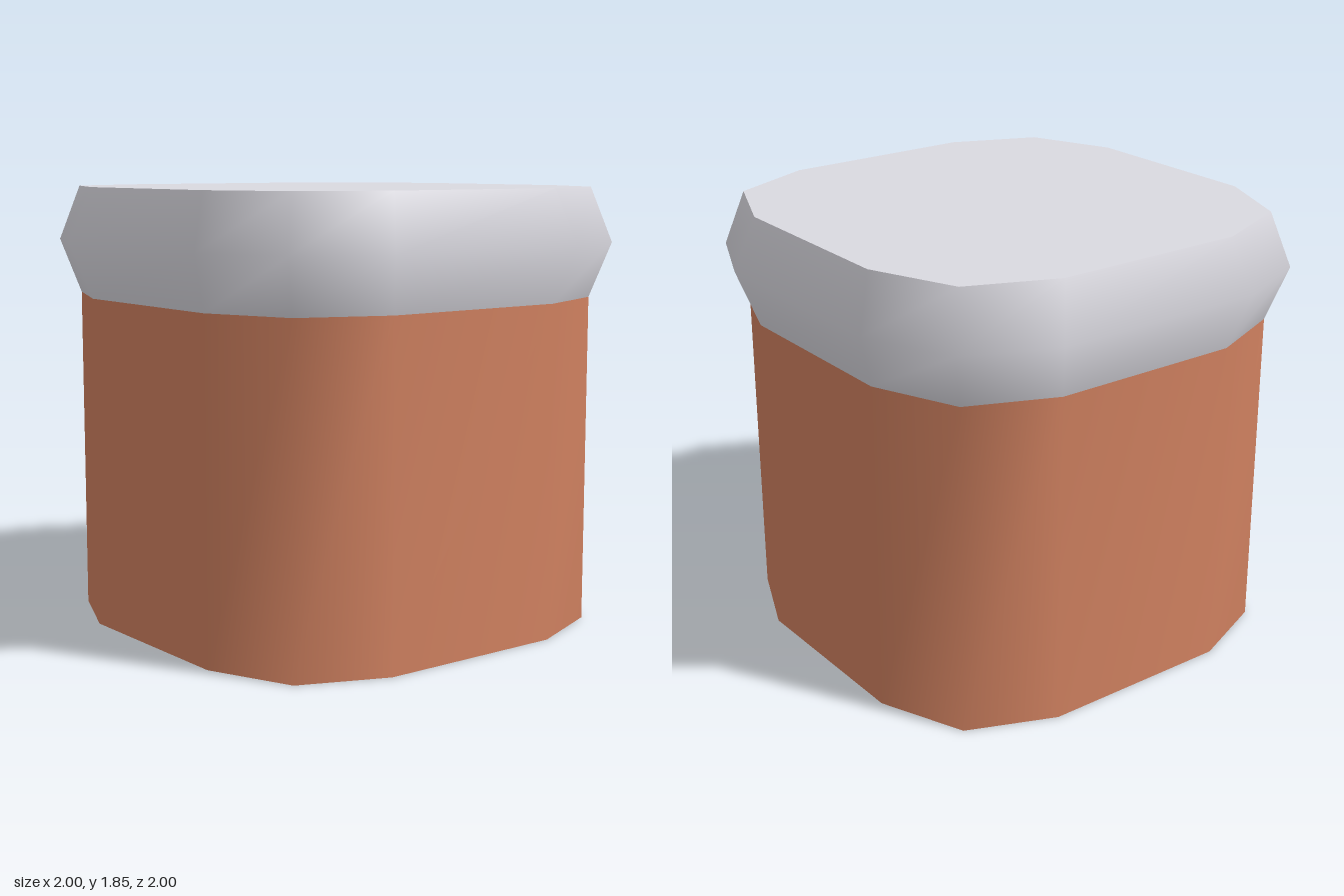
import * as THREE from 'three';

const dirt = new THREE.MeshStandardMaterial({ color: 0xd08160 });
dirt.name = 'dirt';
const snow = new THREE.MeshStandardMaterial({ color: 0xdad9e0 });
snow.name = 'snow';

// Quarter of the rounded-square outline as [x, z], repeated by quarter turns
const INNER = [[0.925, 0.415], [0.775, 0.775], [0.415, 0.925]];
const OUTER = [[1, 0.47], [0.84, 0.84], [0.47, 1]];

function outline(quarter) {
  const points = [];
  for (let turn = 0; turn < 4; turn++) {
    for (let [x, z] of quarter) {
      for (let i = 0; i < turn; i++) [x, z] = [-z, x];
      points.push(new THREE.Vector2(x, z));
    }
  }
  return points;
}

// Smooth wall through stacked outlines, listed from bottom to top
function wall(rings) {
  const positions = [];
  const index = [];
  const n = 12;
  for (const [quarter, y] of rings) {
    for (const p of outline(quarter)) positions.push(p.x, y, p.y);
  }
  for (let r = 0; r < rings.length - 1; r++) {
    for (let i = 0; i < n; i++) {
      const a = r * n + i;
      const b = r * n + (i + 1) % n;
      index.push(a, a + n, b, b, a + n, b + n);
    }
  }
  const geometry = new THREE.BufferGeometry();
  geometry.setAttribute('position', new THREE.Float32BufferAttribute(positions, 3));
  geometry.setIndex(index);
  geometry.computeVertexNormals();
  return geometry;
}

// Flat cap facing up or down
function cap(y, up) {
  const geometry = new THREE.ShapeGeometry(new THREE.Shape(outline(INNER)));
  geometry.rotateX(up ? -Math.PI / 2 : Math.PI / 2);
  return geometry.translate(0, y, 0);
}

export function createModel() {
  const group = new THREE.Group();
  group.name = 'snowyDirtBlock';
  const add = (name, geometry, material) => {
    const mesh = new THREE.Mesh(geometry, material);
    mesh.name = name;
    group.add(mesh);
  };

  // Dirt body
  add('dirtSides', wall([[INNER, 0], [INNER, 1.39]]), dirt);
  add('dirtBottom', cap(0, false), dirt);

  // Bulging snow layer
  add('snowRim', wall([[INNER, 1.39], [OUTER, 1.62], [INNER, 1.85]]), snow);
  add('snowTop', cap(1.85, true), snow);

  return group;
}
